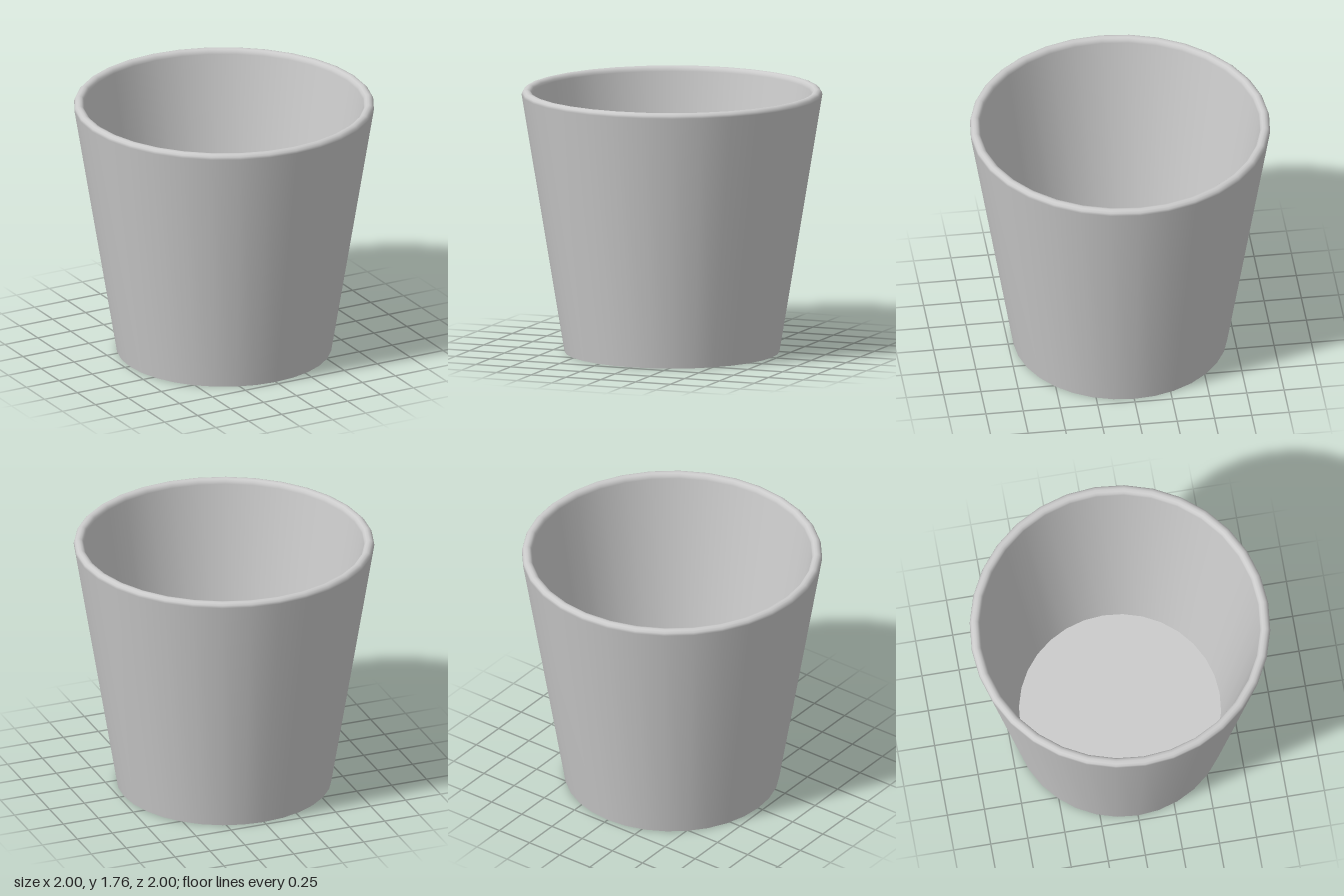
import * as THREE from 'three';

const SEGMENTS = 32;

export function createModel() {
  const group = new THREE.Group();
  group.name = 'cup';
  const material = new THREE.MeshStandardMaterial({ color: 0xcccccc });

  const add = (name, geometry) => {
    const mesh = new THREE.Mesh(geometry, material);
    mesh.name = name;
    group.add(mesh);
    return mesh;
  };

  const baseRadius = 0.715, floorRadius = 0.672, floorY = 0.13;
  const rimRadius = 0.034, rimX = 1 - rimRadius, rimY = 1.764 - rimRadius;

  // Tapered wall: up the outside, over the rounded rim, down the inside
  const profile = [new THREE.Vector2(baseRadius, 0)];
  const steps = 6;
  for (let i = 0; i <= steps; i++) {
    const a = (i / steps) * Math.PI;
    profile.push(new THREE.Vector2(rimX + Math.cos(a) * rimRadius, rimY + Math.sin(a) * rimRadius));
  }
  profile.push(new THREE.Vector2(floorRadius, floorY));
  add('wall', new THREE.LatheGeometry(profile, SEGMENTS));

  // Flat discs: inner floor facing up, underside facing down
  const floor = add('innerFloor', new THREE.CircleGeometry(floorRadius, SEGMENTS));
  floor.rotation.x = -Math.PI / 2;
  floor.position.y = floorY;

  const base = add('underside', new THREE.CircleGeometry(baseRadius, SEGMENTS));
  base.rotation.x = Math.PI / 2;

  return group;
}
